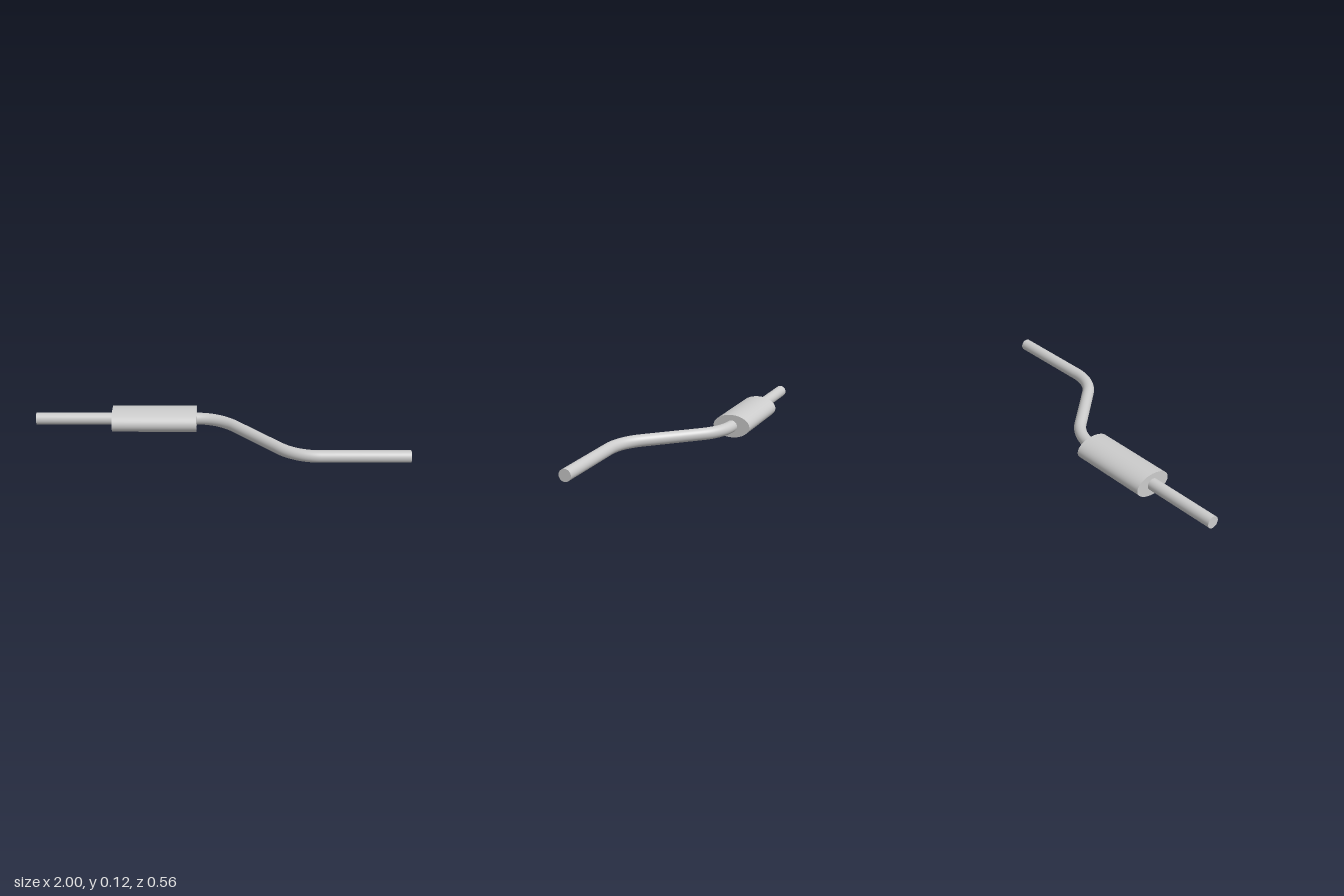
import * as THREE from 'three';

const Y = 0.0625, R = 0.0325;         // pipe axis height and radius
const Z_IN = -0.178, Z_OUT = 0.2475;  // axis of the inlet and outlet runs
const MUFFLER = { x0: -0.58, x1: -0.12, halfDepth: 0.1025, halfHeight: 0.0625 };

// Circular arc in the horizontal plane, angles measured from +x towards +z
class FlatArc extends THREE.Curve {
  constructor(cx, cz, radius, a0, a1) {
    super();
    Object.assign(this, { cx, cz, radius, a0, a1 });
  }
  getPoint(t, target = new THREE.Vector3()) {
    const a = this.a0 + (this.a1 - this.a0) * t;
    return target.set(this.cx + this.radius * Math.cos(a), Y, this.cz + this.radius * Math.sin(a));
  }
}

export function createModel() {
  const model = new THREE.Group();
  const material = new THREE.MeshStandardMaterial({ color: 0xcccccc });

  const add = (name, geometry, parent = model) => {
    const mesh = new THREE.Mesh(geometry, material);
    mesh.name = name;
    parent.add(mesh);
    return mesh;
  };

  // Oval muffler body with flat ends
  const { x0, x1, halfDepth, halfHeight } = MUFFLER;
  const body = new THREE.CylinderGeometry(1, 1, x1 - x0, 64);
  body.rotateZ(-Math.PI / 2).scale(1, halfHeight, halfDepth);
  body.translate((x0 + x1) / 2, Y, Z_IN);
  add('muffler', body);

  // Straight inlet pipe
  const inlet = new THREE.CylinderGeometry(R, R, x0 + 1, 40);
  inlet.rotateZ(Math.PI / 2).translate((x0 - 1) / 2, Y, Z_IN);
  add('inletPipe', inlet);

  // Outlet pipe: two opposite bends joined by a slanted straight
  const bendStart = x1, bendEnd = 0.525;
  const angle = THREE.MathUtils.degToRad(47);
  const rise = Z_OUT - Z_IN, run = rise / Math.tan(angle);
  const bendRadius = (bendEnd - bendStart - run) / 2 / Math.tan(angle / 2);
  const first = new FlatArc(bendStart, Z_IN + bendRadius, bendRadius, -Math.PI / 2, -Math.PI / 2 + angle);
  const second = new FlatArc(bendEnd, Z_OUT - bendRadius, bendRadius, Math.PI / 2 + angle, Math.PI / 2);
  const path = new THREE.CurvePath();
  path.add(first);
  path.add(new THREE.LineCurve3(first.getPoint(1), second.getPoint(0)));
  path.add(second);
  path.add(new THREE.LineCurve3(second.getPoint(1), new THREE.Vector3(1, Y, Z_OUT)));

  const outlet = new THREE.Group();
  outlet.name = 'outletPipe';
  model.add(outlet);
  add('outletTube', new THREE.TubeGeometry(path, 120, R, 40), outlet);
  const cap = new THREE.CircleGeometry(R, 40);
  cap.rotateY(Math.PI / 2).translate(1, Y, Z_OUT);
  add('outletEndCap', cap, outlet);

  return model;
}
